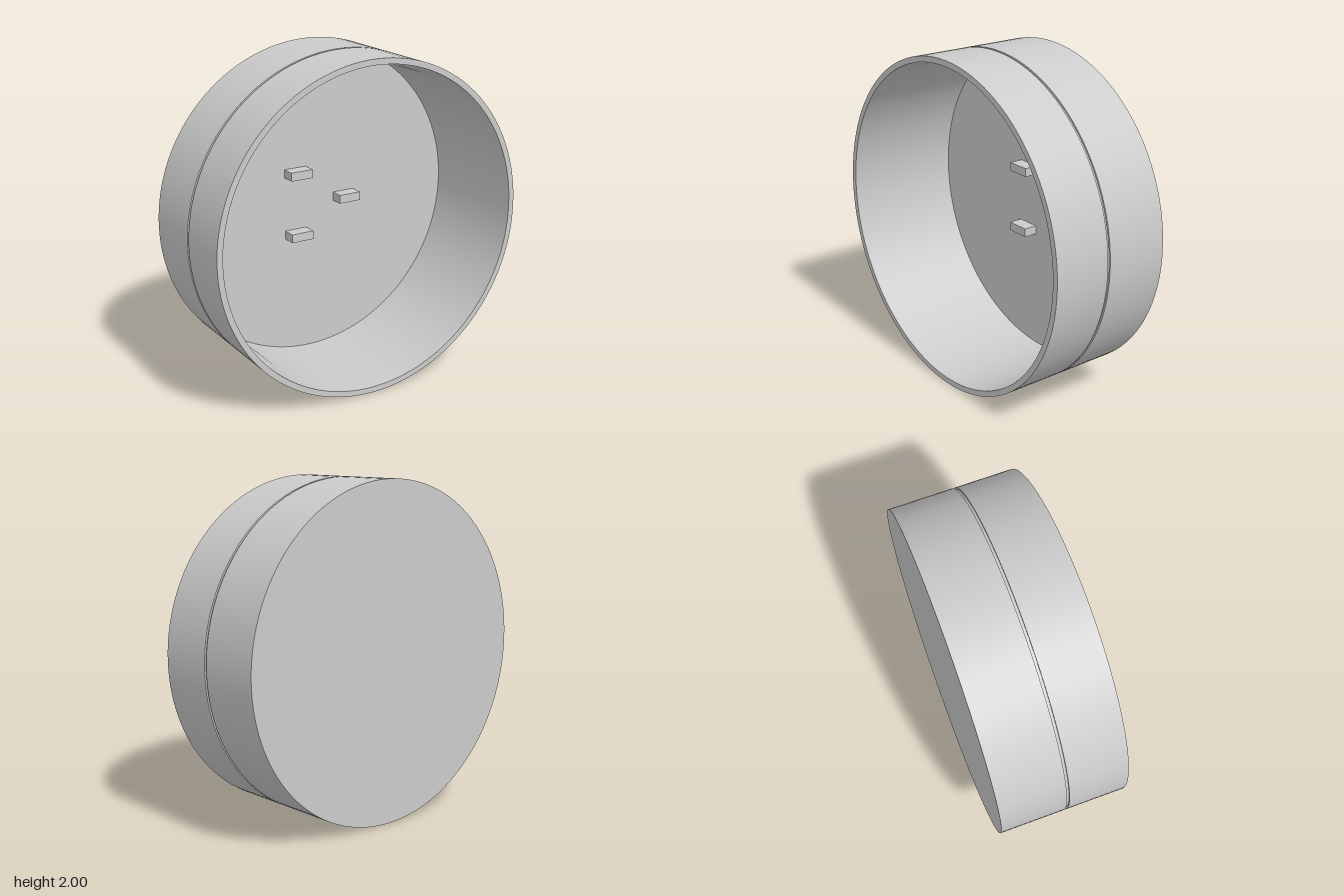
import * as THREE from 'three';
import { toCreasedNormals } from 'three/addons/utils/BufferGeometryUtils.js';

export function createModel() {
  const model = new THREE.Group();
  const material = new THREE.MeshStandardMaterial({ color: 0xcccccc });

  const outer = 1, inner = 0.965, half = 0.38, floorZ = -0.34;

  // Round open shell: closed back, thin wall, narrow groove around the outside
  const profile = [
    [0, -half], [outer, -half],
    [outer, 0.012], [outer - 0.01, 0.012], [outer - 0.01, 0.028], [outer, 0.028],
    [outer, half], [inner, half],
    [inner, floorZ], [0, floorZ],
  ].map(([r, z]) => new THREE.Vector2(r, z));
  const shellGeometry = toCreasedNormals(new THREE.LatheGeometry(profile, 128), Math.PI / 6);
  shellGeometry.rotateX(Math.PI / 2);
  const shell = new THREE.Mesh(shellGeometry, material);
  shell.name = 'shell';
  shell.position.y = 1;
  model.add(shell);

  // Three small blocks standing on the inner floor
  const pegDepth = 0.085;
  const pegGeometry = new THREE.BoxGeometry(0.147, 0.053, pegDepth);
  const pegs = new THREE.Group();
  pegs.name = 'pegs';
  for (const [x, y] of [[0.225, 1], [-0.115, 1.197], [-0.115, 0.805]]) {
    const peg = new THREE.Mesh(pegGeometry, material);
    peg.name = 'peg';
    peg.position.set(x, y, floorZ + pegDepth / 2);
    pegs.add(peg);
  }
  model.add(pegs);

  return model;
}
